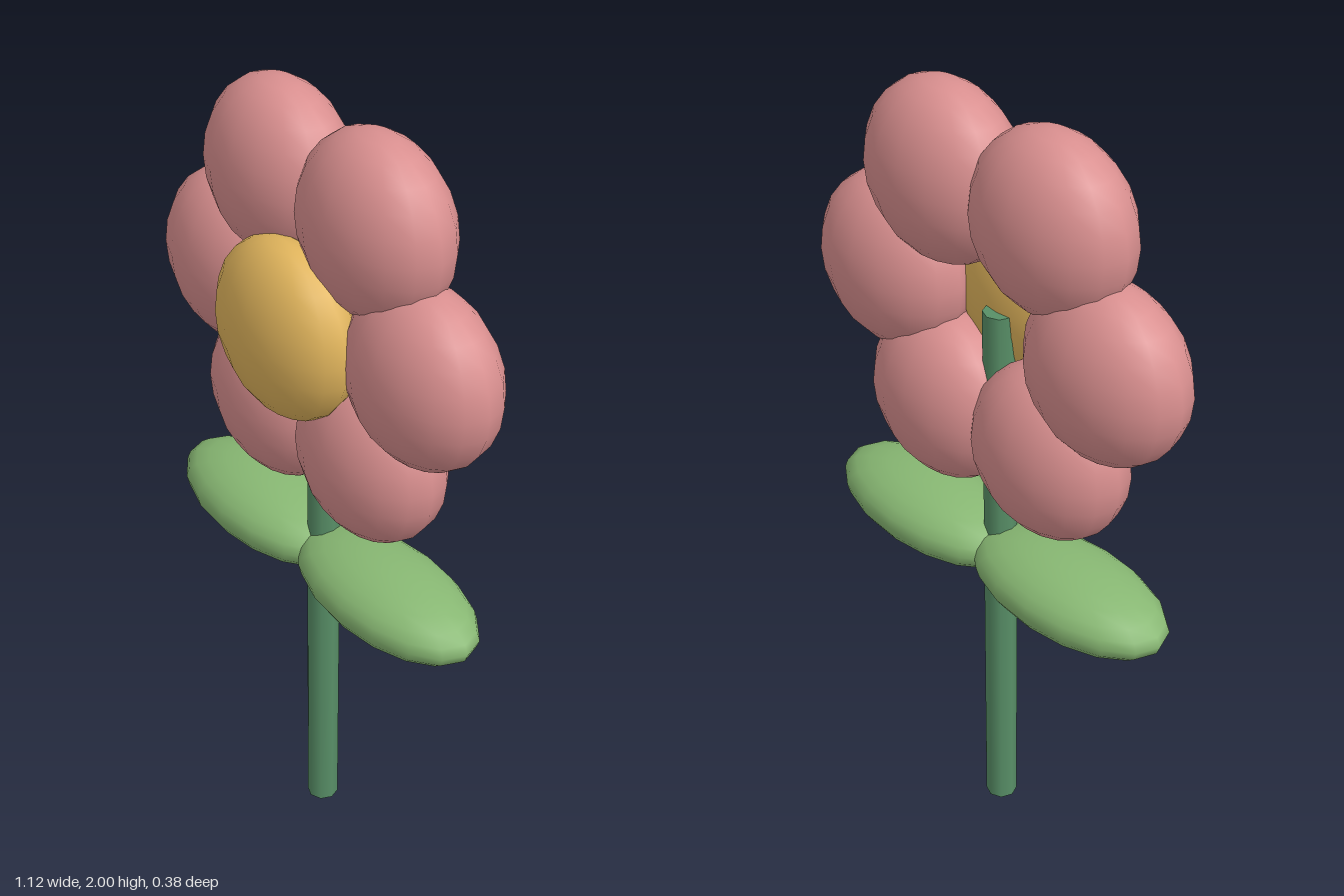
import * as THREE from 'three';

const mat = (name, color) => {
  const m = new THREE.MeshStandardMaterial({ color });
  m.name = name;
  return m;
};

export function createModel() {
  const flower = new THREE.Group();
  flower.name = 'flower';

  const pink = mat('petal pink', 0xd98f8f);
  const yellow = mat('centre yellow', 0xe0b45c);
  const leafGreen = mat('leaf green', 0x88b873);
  const stemGreen = mat('stem green', 0x588f67);

  const DEPTH = -0.045; // plane shared by petals, leaves and stem
  const HEAD_Y = 1.485;
  const ball = new THREE.SphereGeometry(1, 16, 12);

  const ellipsoid = (name, material, radii, position) => {
    const mesh = new THREE.Mesh(ball, material);
    mesh.name = name;
    mesh.scale.set(...radii);
    mesh.position.set(...position);
    flower.add(mesh);
  };

  // Ring of six petals
  for (let i = 0; i < 6; i++) {
    const a = (i * Math.PI) / 3;
    ellipsoid('petal' + (i + 1), pink, [0.22, 0.22, 0.145],
      [0.34 * Math.cos(a), HEAD_Y + 0.34 * Math.sin(a), DEPTH]);
  }

  // Domed centre in front of the petals
  ellipsoid('flowerCentre', yellow, [0.22, 0.22, 0.12], [0, HEAD_Y, 0.07]);

  // Pair of leaves meeting at the stem
  for (const side of [1, -1]) {
    ellipsoid(side > 0 ? 'leftLeaf' : 'rightLeaf', leafGreen,
      [0.295, 0.093, 0.147], [side * 0.237, 0.82, DEPTH]);
  }

  // Stem, ending behind the flower centre
  const stem = new THREE.Mesh(new THREE.CylinderGeometry(0.04, 0.04, 1.485, 8), stemGreen);
  stem.name = 'stem';
  stem.position.set(0, 1.485 / 2, -0.04);
  flower.add(stem);

  return flower;
}
